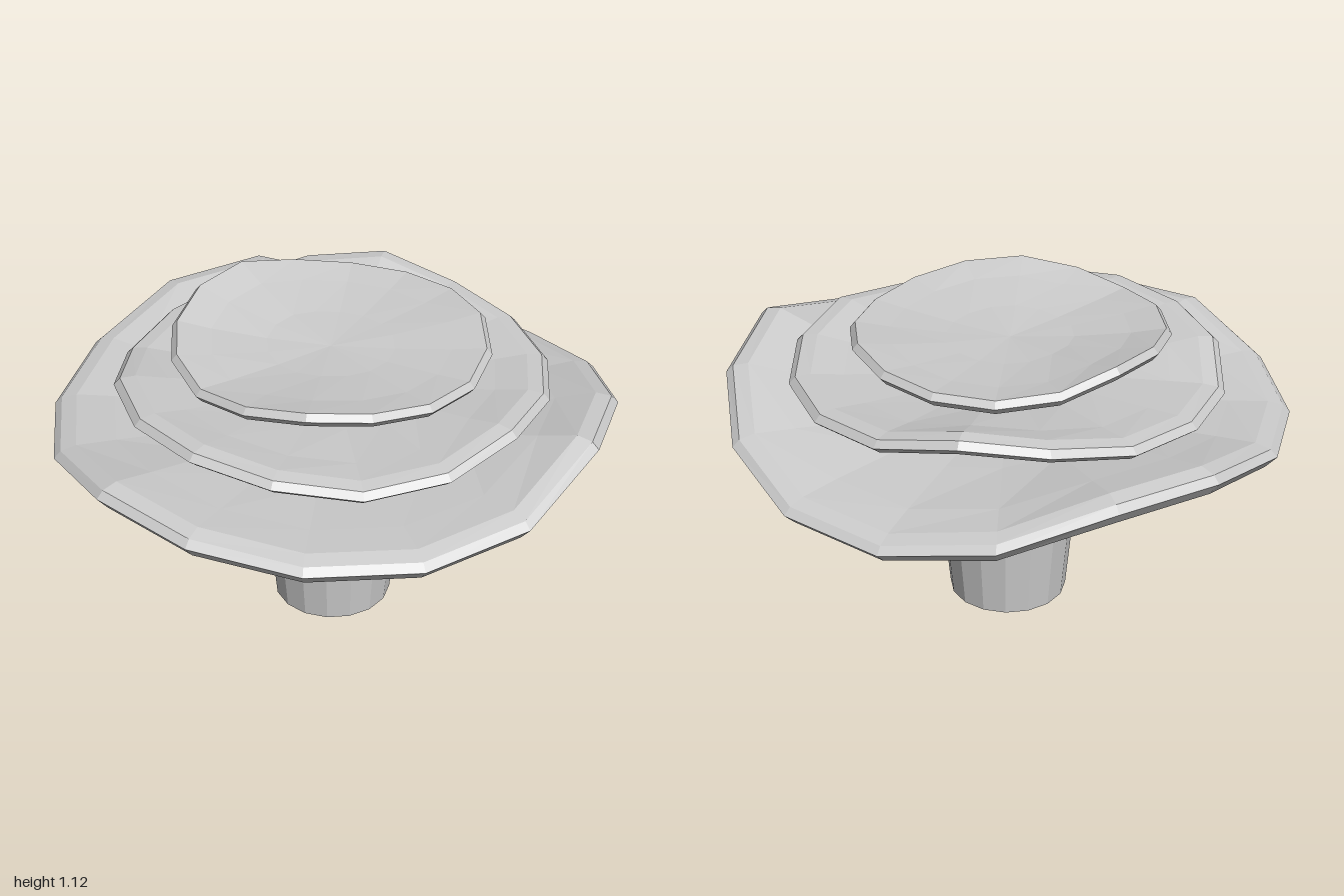
import * as THREE from 'three';

const SIDES = 16;
const material = new THREE.MeshStandardMaterial({ color: 0xcccccc, flatShading: true, side: THREE.DoubleSide });

// Skins a wavy round cap. Each ring is [radius scale, share of the rim's wave, mean height],
// listed from the underside, around the rim and in to the middle of the top.
function wavyCap(name, { radius, phase, x, z, rim, rings }) {
  const mean = rim.reduce((a, b) => a + b, 0) / SIDES;
  const positions = [], index = [];
  for (const [scale, wave, y] of rings) {
    for (let i = 0; i < SIDES; i++) {
      const a = phase + (i / SIDES) * Math.PI * 2;
      positions.push(
        Math.cos(a) * radius * scale + x,
        y + wave * (rim[i] - mean),
        Math.sin(a) * radius * scale + z);
    }
  }
  for (let j = 0; j < rings.length - 1; j++) {
    for (let i = 0; i < SIDES; i++) {
      const n = (i + 1) % SIDES;
      const a = j * SIDES + i, b = j * SIDES + n, c = b + SIDES, d = a + SIDES;
      index.push(a, d, b);
      if (rings[j + 1][0] > 0) index.push(b, d, c);
    }
  }
  const geometry = new THREE.BufferGeometry();
  geometry.setAttribute('position', new THREE.Float32BufferAttribute(positions, 3));
  geometry.setIndex(index);
  geometry.computeVertexNormals();
  const mesh = new THREE.Mesh(geometry, material);
  mesh.name = name;
  return mesh;
}

export function createModel() {
  const group = new THREE.Group();
  group.name = 'tieredMushroom';

  // Hollow stem flaring into the widest cap
  group.add(wavyCap('stemAndLowerCap', {
    radius: 0.995, phase: 0, x: 0, z: -0.005,
    rim: [0.72, 0.79, 0.88, 0.93, 0.82, 0.79, 0.80, 0.83, 0.85, 0.78, 0.76, 0.79, 0.87, 0.88, 0.77, 0.71],
    rings: [
      [0.214, 0, 0], [0.24, 0, 0.28], [0.275, 0, 0.42], [0.37, 0, 0.51],
      [0.54, 0.1, 0.585], [0.72, 0.45, 0.645], [0.88, 0.75, 0.695], [0.96, 0.92, 0.74],
      [1, 1, 0.787], [0.975, 1, 0.812], [0.92, 0.97, 0.825], [0.78, 0.7, 0.812],
      [0.5, 0.3, 0.785], [0, 0, 0.77],
    ],
  }));

  // Middle cap
  group.add(wavyCap('middleCap', {
    radius: 0.764, phase: 0.17, x: 0.008, z: -0.01,
    rim: [0.93, 0.93, 0.95, 0.97, 0.93, 0.92, 0.95, 0.97, 0.96, 0.95, 0.90, 0.91, 0.93, 0.98, 1.01, 0.95],
    rings: [
      [0.3, 0, 0.75], [0.55, 0.25, 0.815], [0.8, 0.65, 0.86], [0.96, 0.95, 0.897], [1, 1, 0.923],
      [0.97, 1, 0.947], [0.9, 0.97, 0.953], [0.75, 0.65, 0.935], [0.45, 0.25, 0.91], [0, 0, 0.895],
    ],
  }));

  // Top cap with a shallow dished centre
  group.add(wavyCap('topCap', {
    radius: 0.56, phase: 0.05, x: 0.005, z: -0.02,
    rim: [1.07, 1.08, 1.06, 1.05, 1.06, 1.08, 1.09, 1.07, 1.05, 1.07, 1.08, 1.11, 1.12, 1.08, 1.06, 1.06],
    rings: [
      [0.3, 0, 0.89], [0.6, 0.3, 0.975], [0.8, 0.65, 0.995], [0.96, 0.95, 1.02], [1, 1, 1.047],
      [0.965, 1, 1.07], [0.75, 0.6, 1.05], [0.4, 0.2, 1.03], [0, 0, 1.02],
    ],
  }));

  return group;
}
